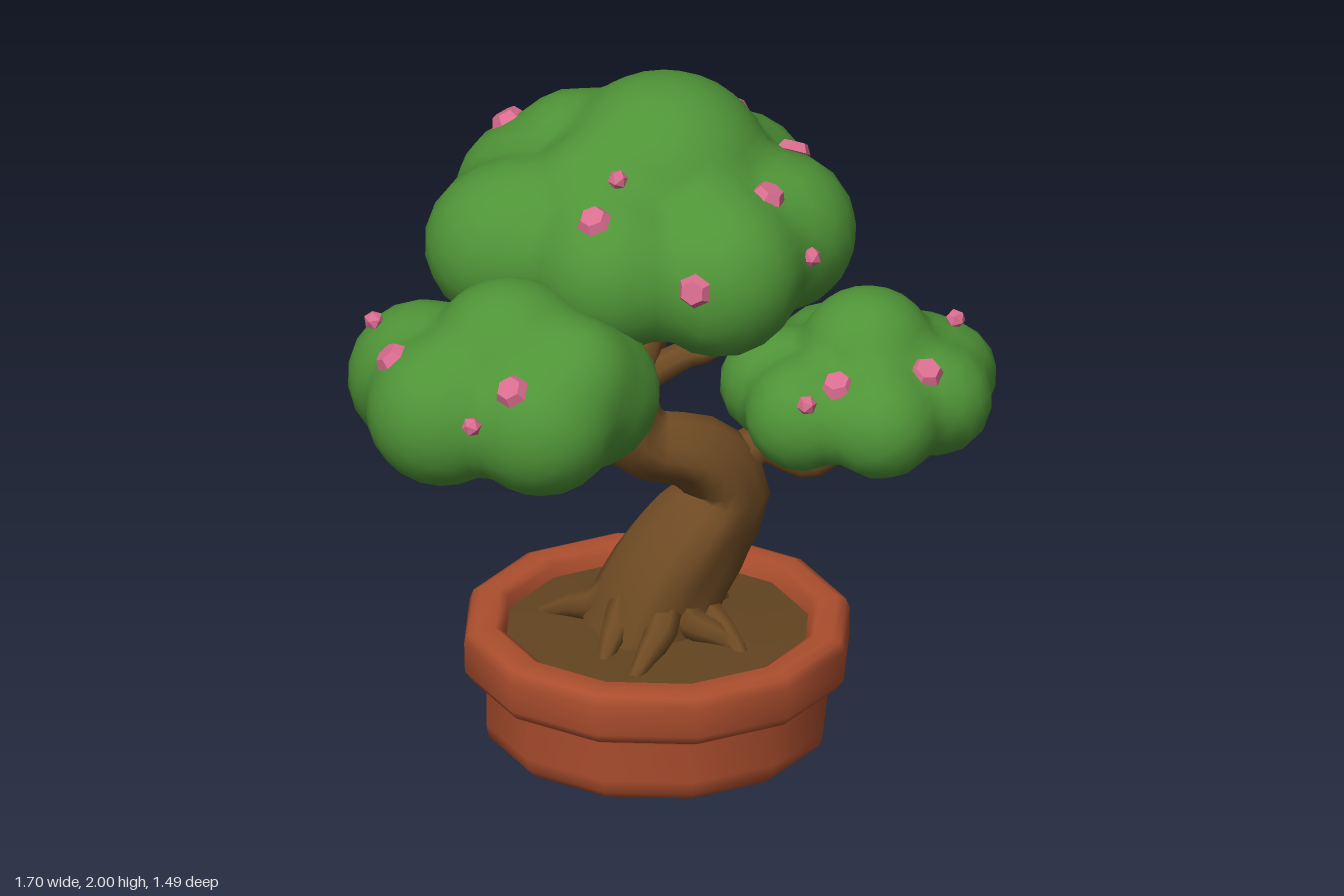
import * as THREE from 'three';
import { mergeVertices } from 'three/addons/utils/BufferGeometryUtils.js';

const V = (a) => new THREE.Vector3(...a);
const mat = (name, color) => Object.assign(new THREE.MeshStandardMaterial({ color }), { name });

// Weld a geometry and give it smooth normals
function smooth(geo) {
  geo.deleteAttribute('uv');
  geo.deleteAttribute('normal');
  const out = mergeVertices(geo, 1e-4);
  out.computeVertexNormals();
  return out;
}

// Tapering limb along a curve, with twisting ridges
function limb(points, radii, { segs = 14, sides = 8, ridge = 0, lobes = 4, twist = 5 } = {}) {
  const curve = new THREE.CatmullRomCurve3(points.map(V));
  const geo = new THREE.TubeGeometry(curve, segs, 1, sides);
  const pos = geo.attributes.position, v = new THREE.Vector3();
  for (let i = 0; i <= segs; i++) {
    const u = i / segs, c = curve.getPointAt(u);
    const f = curve.getUtoTmapping(u) * (radii.length - 1);
    const k = Math.min(Math.floor(f), radii.length - 2);
    const r = THREE.MathUtils.lerp(radii[k], radii[k + 1], f - k);
    for (let j = 0; j <= sides; j++) {
      const a = (j / sides) * Math.PI * 2;
      const s = r * (1 + ridge * Math.cos(lobes * a + twist * u));
      const n = i * (sides + 1) + j;
      v.fromBufferAttribute(pos, n).sub(c).multiplyScalar(s).add(c);
      pos.setXYZ(n, v.x, v.y, v.z);
    }
  }
  return smooth(geo);
}

// Distance to a softly blended cluster of spheres [x, y, z, radius]
function clusterDistance(p, balls, k = 0.05) {
  let d = 10;
  for (const [x, y, z, r] of balls) {
    const e = Math.hypot(p.x - x, p.y - y, p.z - z) - r;
    const h = Math.max(k - Math.abs(d - e), 0) / k;
    d = Math.min(d, e) - h * h * k * 0.25;
  }
  return d;
}

// Point on the cluster surface, seen from its centre along dir
function surfacePoint(center, dir, balls) {
  let t = 1.2;
  const p = new THREE.Vector3();
  for (let i = 0; i < 80; i++) {
    p.copy(center).addScaledVector(dir, t);
    const d = clusterDistance(p, balls);
    if (d < 0.0005) break;
    t -= d;
  }
  return p;
}

function surfaceNormal(p, balls) {
  const e = 0.01;
  return V(['x', 'y', 'z'].map((axis) => {
    const a = p.clone(), b = p.clone();
    a[axis] += e;
    b[axis] -= e;
    return clusterDistance(a, balls) - clusterDistance(b, balls);
  })).normalize();
}

// Direction from compass angle (0 = front, 90 = +x) and elevation, in degrees
const heading = (azimuth, elevation) => new THREE.Vector3().setFromSphericalCoords(
  1, THREE.MathUtils.degToRad(90 - elevation), THREE.MathUtils.degToRad(azimuth));

// A ring of equal lobes around the centre, below the crown spheres
function foliageBalls({ center: [x, y, z], lobes, start, ring: [rx, rz], lobe, crown }) {
  const balls = [...crown];
  for (let i = 0; i < lobes; i++) {
    const d = heading(start + (i * 360) / lobes, 0);
    balls.push([x + d.x * rx, y - 0.03, z + d.z * rz, lobe]);
  }
  return balls;
}

// Blossoms share one elevation and list only their compass angles
const upperFoliage = {
  center: [-0.14, 1.58, -0.22], detail: 8, lobes: 7, start: 0, ring: [0.37, 0.31], lobe: 0.237,
  crown: [[-0.1, 1.68, -0.25, 0.32], [-0.38, 1.69, -0.3, 0.2], [-0.25, 1.68, -0.05, 0.2],
    [-0.5, 1.54, 0.01, 0.23], [0.14, 1.51, -0.01, 0.22]],
  blossoms: [-153, 163, -102, 117, 76, -3], buds: [[0, 40], [77, 0]],
};
const frontFoliage = {
  center: [-0.39, 1.28, 0.38], detail: 7, lobes: 5, start: -30, ring: [0.25, 0.18], lobe: 0.22,
  crown: [[-0.36, 1.36, 0.38, 0.24], [-0.15, 1.36, 0.42, 0.17]],
  blossoms: [-53, 24], buds: [[-88, 21], [3, 3]],
};
const sideFoliage = {
  center: [0.45, 1.08, -0.34], detail: 6, lobes: 6, start: -85, ring: [0.235, 0.215], lobe: 0.165,
  crown: [[0.48, 1.16, -0.36, 0.2], [0.65, 1.05, -0.52, 0.16]],
  blossoms: [5, 70, 176], buds: [[-8, 11], [132, 22]],
};

export function createModel() {
  const model = new THREE.Group();
  model.name = 'pottedTree';
  const leaf = mat('leafGreen', 0x4f9437), bark = mat('barkBrown', 0x6e4a23);
  const clay = mat('terracotta', 0xac4e2e), earth = mat('soilBrown', 0x624420);
  const pink = mat('blossomPink', 0xd96d8f);
  const add = (name, geo, material, parent = model) => {
    const mesh = new THREE.Mesh(geo, material);
    mesh.name = name;
    parent.add(mesh);
    return mesh;
  };
  const lathe = (points) => new THREE.LatheGeometry(points.map((p) => new THREE.Vector2(...p)), 12);

  // Twelve-sided pot with a thick rounded rim
  const pot = add('pot', lathe([
    [0, 0], [0.44, 0], [0.47, 0.005], [0.495, 0.03], [0.502, 0.07], [0.502, 0.19], [0.51, 0.21],
    [0.545, 0.215], [0.565, 0.245], [0.567, 0.335], [0.555, 0.365], [0.53, 0.375],
    [0.475, 0.375], [0.45, 0.36], [0.44, 0.3],
  ]), clay);
  pot.position.set(-0.07, 0, -0.09);

  // Slightly mounded soil
  const soil = add('soil', lathe([[0.46, 0.325], [0.3, 0.335], [0.12, 0.35], [0, 0.352]]), earth);
  soil.position.copy(pot.position);

  // Twisting trunk
  add('trunk', limb(
    [[-0.1, 0.3, -0.09], [-0.06, 0.45, -0.11], [0.02, 0.6, -0.17], [0.1, 0.75, -0.21],
      [0.04, 0.88, -0.14], [-0.1, 0.95, -0.03], [-0.14, 1.07, 0], [-0.1, 1.42, -0.16]],
    [0.19, 0.165, 0.155, 0.115, 0.11, 0.1, 0.095, 0.08],
    { segs: 22, sides: 16, ridge: 0.1 }), bark);

  // Branches reaching into the foliage
  add('sideBranch', limb(
    [[0.08, 0.78, -0.2], [0.19, 0.88, -0.26], [0.32, 0.83, -0.28], [0.385, 0.86, -0.29], [0.4, 1, -0.31]],
    [0.07, 0.03]), bark);
  add('frontBranch', limb(
    [[-0.12, 0.99, -0.02], [-0.17, 1.07, 0.13], [-0.24, 1.09, 0.23], [-0.32, 1.2, 0.34]],
    [0.08, 0.055, 0.04]), bark);
  add('upperBranch', limb(
    [[-0.1, 1.15, -0.03], [0.02, 1.22, -0.08], [0.09, 1.24, -0.1], [0.1, 1.36, -0.13]],
    [0.05, 0.025]), bark);

  // Roots spreading over the soil
  const roots = new THREE.Group();
  roots.name = 'roots';
  model.add(roots);
  for (let i = 0; i < 9; i++) {
    const a = (i / 9) * Math.PI * 2 + 0.25 * Math.sin(i * 5.3);
    const len = 1 + 0.12 * Math.sin(i * 3.7), bend = 0.3 * Math.cos(i * 2.9);
    const at = (r, y, turn) =>
      [-0.08 + Math.cos(a + turn) * r * len, y, -0.1 + Math.sin(a + turn) * r * len];
    add('root', limb(
      [at(0.09, 0.47, -bend), at(0.16, 0.39, 0), at(0.23, 0.365, bend * 0.6), at(0.31, 0.32, bend)],
      [0.05, 0.05, 0.036, 0.02], { segs: 8, sides: 7 }), bark, roots);
  }

  // Lumpy foliage with blossoms and buds sitting on its surface
  const blossomGeo = new THREE.CylinderGeometry(0.036, 0.052, 0.028, 6).toNonIndexed();
  blossomGeo.computeVertexNormals();
  const budGeo = new THREE.IcosahedronGeometry(0.03, 0);
  const up = new THREE.Vector3(0, 1, 0);
  for (const [name, spec] of Object.entries({ upperFoliage, frontFoliage, sideFoliage })) {
    const group = new THREE.Group();
    group.name = name;
    model.add(group);
    const center = V(spec.center), balls = foliageBalls(spec);
    const geo = new THREE.IcosahedronGeometry(1, spec.detail);
    const pos = geo.attributes.position, dir = new THREE.Vector3();
    for (let i = 0; i < pos.count; i++) {
      dir.fromBufferAttribute(pos, i).normalize();
      const p = surfacePoint(center, dir, balls);
      pos.setXYZ(i, p.x, p.y, p.z);
    }
    add('leaves', smooth(geo), leaf, group);
    const plant = (part, shape, azimuth, elevation) => {
      const p = surfacePoint(center, heading(azimuth, elevation), balls);
      const n = surfaceNormal(p, balls);
      const flower = add(part, shape, pink, group);
      flower.position.copy(p).addScaledVector(n, 0.012);
      flower.quaternion.setFromUnitVectors(up, n);
    };
    spec.blossoms.forEach((azimuth) => plant('blossom', blossomGeo, azimuth, 22));
    spec.buds.forEach(([azimuth, elevation]) => plant('bud', budGeo, azimuth, elevation));
    if (spec === upperFoliage) plant('lowBlossom', blossomGeo, 33, 0);
  }
  return model;
}
